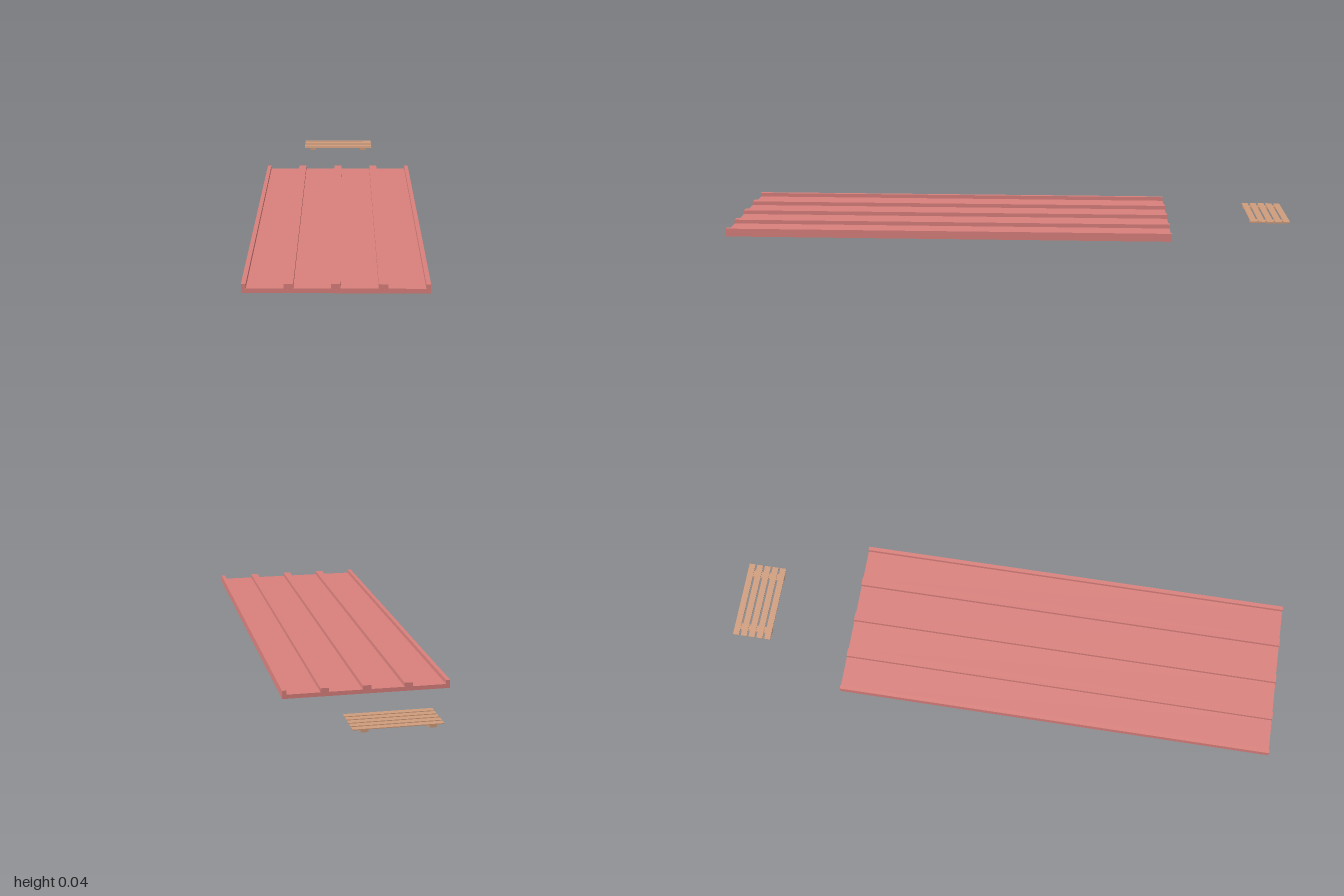
import * as THREE from 'three';

export function createModel() {
  const model = new THREE.Group();
  const red = new THREE.MeshStandardMaterial({ color: 0xd9807c });
  const wood = new THREE.MeshStandardMaterial({ color: 0xcf9c7c });

  // Ribbed floor: one cross-section with side lips and three ribs, extruded along z
  const halfWidth = 0.286, floorY = 0.0145, ribY = 0.0286, half = 0.0143;
  const back = -0.571, front = 1;
  const section = new THREE.Shape();
  section.moveTo(-halfWidth, 0);
  section.lineTo(halfWidth, 0);
  section.lineTo(halfWidth, ribY);
  section.lineTo(halfWidth - half, ribY);
  section.lineTo(halfWidth - half, floorY);
  for (const x of [0.143, 0, -0.143]) {
    section.lineTo(x + half, floorY);
    section.lineTo(x + half, ribY);
    section.lineTo(x - half, ribY);
    section.lineTo(x - half, floorY);
  }
  section.lineTo(half - halfWidth, floorY);
  section.lineTo(half - halfWidth, ribY);
  section.lineTo(-halfWidth, ribY);
  section.closePath();
  const floor = new THREE.Mesh(
    new THREE.ExtrudeGeometry(section, { depth: front - back, bevelEnabled: false }), red);
  floor.name = 'ribbedFloor';
  floor.position.z = back;
  model.add(floor);

  // Slatted pallet behind the floor
  const pallet = new THREE.Group();
  pallet.name = 'pallet';
  const addBoard = (name, w, h, d, x, y, z) => {
    const board = new THREE.Mesh(new THREE.BoxGeometry(w, h, d), wood);
    board.name = name;
    board.position.set(x, y, z);
    pallet.add(board);
  };
  const depth = 0.14, slat = 0.0224, pitch = (depth - slat) / 4;
  for (let i = 0; i < 5; i++) {
    addBoard('slat', 0.286, 0.003, slat, 0, 0.0385, -1 + slat / 2 + i * pitch);
  }
  for (const side of [-1, 1]) {
    addBoard('runner', 0.024, 0.0084, depth, side * 0.107, 0.0328, -1 + depth / 2);
  }
  model.add(pallet);
  return model;
}
